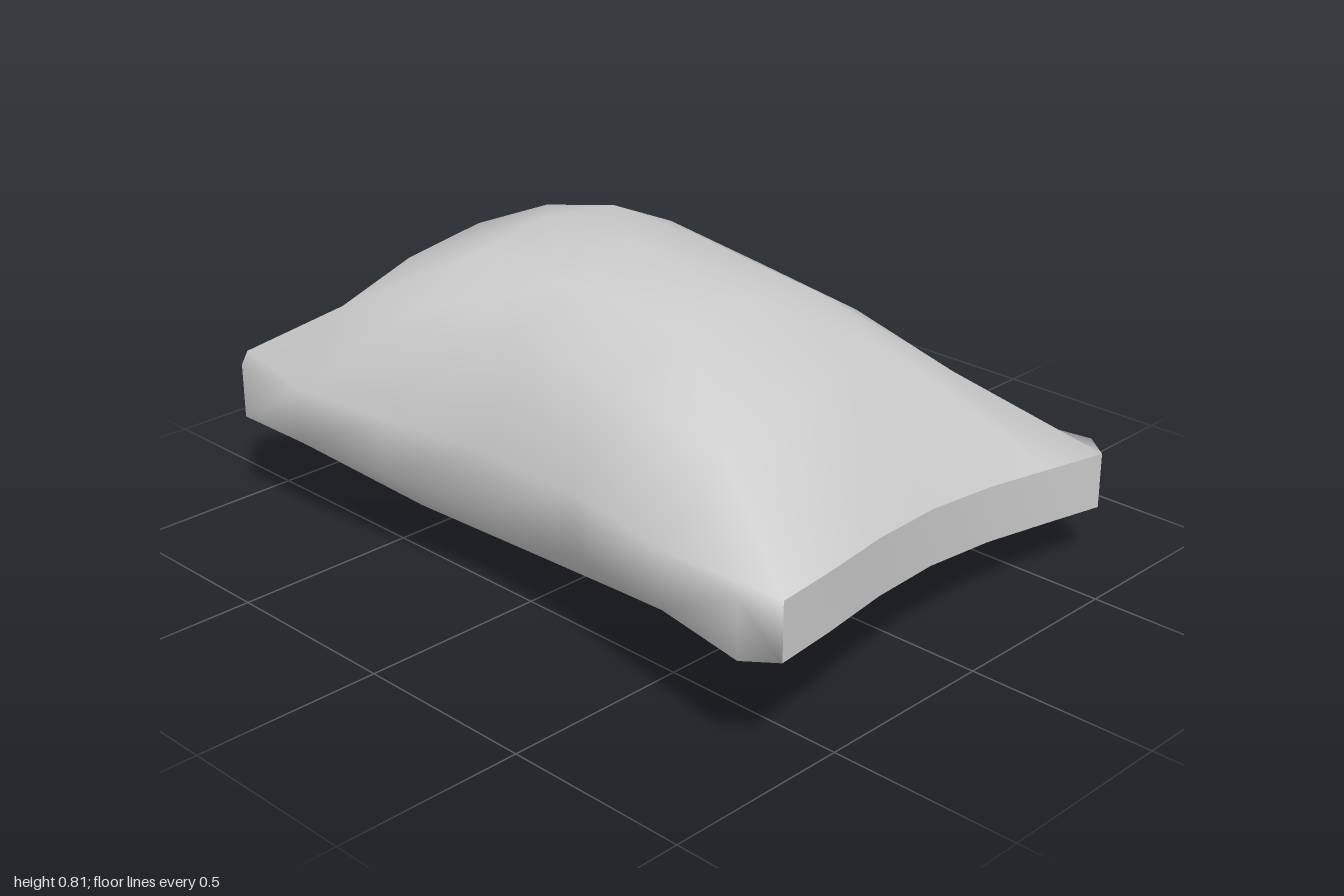
import * as THREE from 'three';
import { mergeVertices } from 'three/addons/utils/BufferGeometryUtils.js';

const lerp = THREE.MathUtils.lerp;
const uSteps = [-1, -0.667, -0.333, 0, 0.333, 0.667, 1];
// The extra steps at 0.9 only serve to blunt the four corners
const vSteps = [-1, -0.9, -0.667, -0.333, 0, 0.333, 0.667, 0.9, 1];
const N = vSteps.length;

// Read an evenly spaced table at t in [-1, 1]
function sample(table, t) {
  const last = table.length - 1;
  const f = ((t + 1) / 2) * last, i = Math.min(Math.floor(f), last - 1);
  return lerp(table[i], table[i + 1], f - i);
}

// Concave seam outline: [x table, z table] for each edge
const left = [[-1, -0.97, -0.93, -0.91, -0.93, -0.97, -1.01], [-0.755, -0.48, -0.24, 0, 0.22, 0.45, 0.67]];
const right = [[0.89, 0.85, 0.84, 0.86, 0.91, 0.97, 1.01], [-0.745, -0.48, -0.25, 0, 0.25, 0.5, 0.755]];
const back = [[-1, -0.7, -0.38, -0.06, 0.25, 0.53, 0.89], [-0.755, -0.69, -0.59, -0.54, -0.57, -0.66, -0.745]];
const front = [[-1.01, -0.68, -0.37, -0.04, 0.3, 0.65, 1.01], [0.67, 0.67, 0.65, 0.61, 0.63, 0.69, 0.755]];

// Cushion swell from the middle (1) to the seam (0)
const swellX = [0, 0.67, 0.95, 1, 0.95, 0.67, 0];
const swellTop = [0, 0.65, 0.91, 1, 0.91, 0.67, 0];
const swellUnder = [0, 0.65, 0.91, 1, 0.9, 0.56, 0];

// Patch between the four edges; side is +1 for the top, -1 for the underside
function point(u, v, side) {
  if (Math.abs(u) < 1 && Math.abs(v) === 0.9) v = Math.sign(v);
  if (Math.abs(u) === 1 && Math.abs(v) === 1) u *= 0.92;
  const s = (u + 1) / 2, t = (v + 1) / 2;
  const patch = (k) =>
    lerp(sample(left[k], v), sample(right[k], v), s) +
    lerp(sample(back[k], u), sample(front[k], u), t) -
    lerp(lerp(left[k][0], right[k][0], s), lerp(left[k][6], right[k][6], s), t);
  // Fullness pushes the inner rows towards the seams
  const x = patch(0) + 0.22 * u * (1 - u * u) * (1 - v * v);
  const z = patch(1) + 0.2 * v * (1 - v * v) * (1 - u * u);
  // The seam twists gently between corners of different heights
  const a = s * s * (3 - 2 * s), b = t * t * (3 - 2 * t);
  const seam = lerp(lerp(0.405, 0.23, a), lerp(0.345, 0.375, a), b);
  const bulge = side > 0 ? 0.395 * sample(swellTop, v) : 0.26 * sample(swellUnder, v);
  return [x, seam + side * (0.075 + bulge * sample(swellX, u)), z];
}

function build(positions, index) {
  const g = new THREE.BufferGeometry();
  g.setAttribute('position', new THREE.Float32BufferAttribute(positions, 3));
  g.setIndex(index);
  const merged = mergeVertices(g);
  merged.computeVertexNormals();
  return merged;
}

// Smooth cover: closed loops round top and underside, stacked along x
function coverGeometry() {
  const pos = [], index = [], L = 2 * N, rows = uSteps.length;
  for (const u of uSteps) {
    for (let j = 0; j < N; j++) pos.push(...point(u, vSteps[j], 1));
    for (let j = N - 1; j >= 0; j--) pos.push(...point(u, vSteps[j], -1));
  }
  for (let i = 0; i < rows - 1; i++) {
    for (let j = 0; j < L; j++) {
      const a = i * L + j, b = i * L + (j + 1) % L, c = a + L, d = b + L, k = j % N;
      // Diagonals run from the middle out to the corners
      const ridge = (uSteps[i] + uSteps[i + 1]) * (vSteps[k] + vSteps[k + 1]) > 0;
      if (ridge) index.push(a, b, d, a, d, c);
      else index.push(a, b, c, b, d, c);
    }
  }
  // Blunt corner ends
  for (const i of [0, rows - 1]) {
    for (const j of [0, N - 2]) {
      const t0 = i * L + j, t1 = t0 + 1, b0 = i * L + L - 1 - j, b1 = b0 - 1;
      if (i) index.push(b0, t0, t1, b0, t1, b1);
      else index.push(b0, t1, t0, b0, b1, t1);
    }
  }
  return build(pos, index);
}

// Crisp side band between the blunt corners
function bandGeometry(u) {
  const pos = [], index = [];
  for (let j = 1; j < N - 1; j++) pos.push(...point(u, vSteps[j], -1), ...point(u, vSteps[j], 1));
  for (let j = 0; j < N - 3; j++) {
    const b = 2 * j, t = b + 1;
    if (u > 0) index.push(b, t, t + 2, b, t + 2, b + 2);
    else index.push(b, t + 2, t, b, b + 2, t + 2);
  }
  return build(pos, index);
}

export function createModel() {
  const group = new THREE.Group();
  group.name = 'pillow';
  const material = new THREE.MeshStandardMaterial({ color: 0xcccccc });
  const add = (name, geometry) => {
    const mesh = new THREE.Mesh(geometry, material);
    mesh.name = name;
    group.add(mesh);
  };
  add('cushionCover', coverGeometry());
  add('leftSideBand', bandGeometry(1));
  add('rightSideBand', bandGeometry(-1));
  // Rest on the ground
  group.position.y = -new THREE.Box3().setFromObject(group).min.y;
  return group;
}
